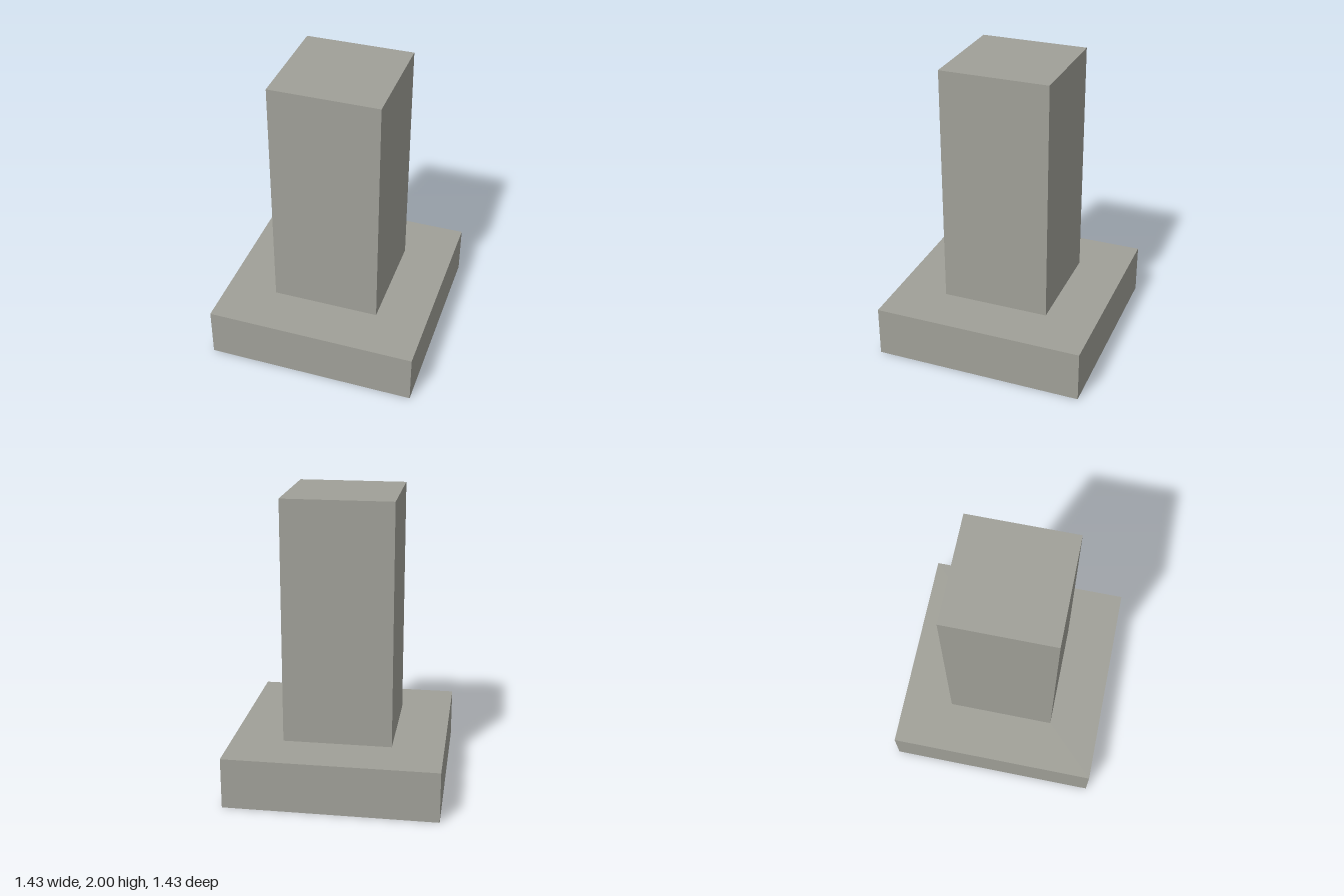
import * as THREE from 'three';

const BASE_WIDTH = 1.435;
const BASE_HEIGHT = 0.348;
const COLUMN_WIDTH = 0.737;
const TOTAL_HEIGHT = 2;

// Square block standing on height y
function block(name, width, height, y, material) {
  const mesh = new THREE.Mesh(new THREE.BoxGeometry(width, height, width), material);
  mesh.name = name;
  mesh.position.y = y + height / 2;
  return mesh;
}

export function createModel() {
  const model = new THREE.Group();
  model.name = 'pedestal';
  const stone = new THREE.MeshStandardMaterial({ color: 0xa0a098, flatShading: true });

  // Wide footing with a square column standing on its centre
  model.add(
    block('base', BASE_WIDTH, BASE_HEIGHT, 0, stone),
    block('column', COLUMN_WIDTH, TOTAL_HEIGHT - BASE_HEIGHT, BASE_HEIGHT, stone),
  );
  return model;
}
